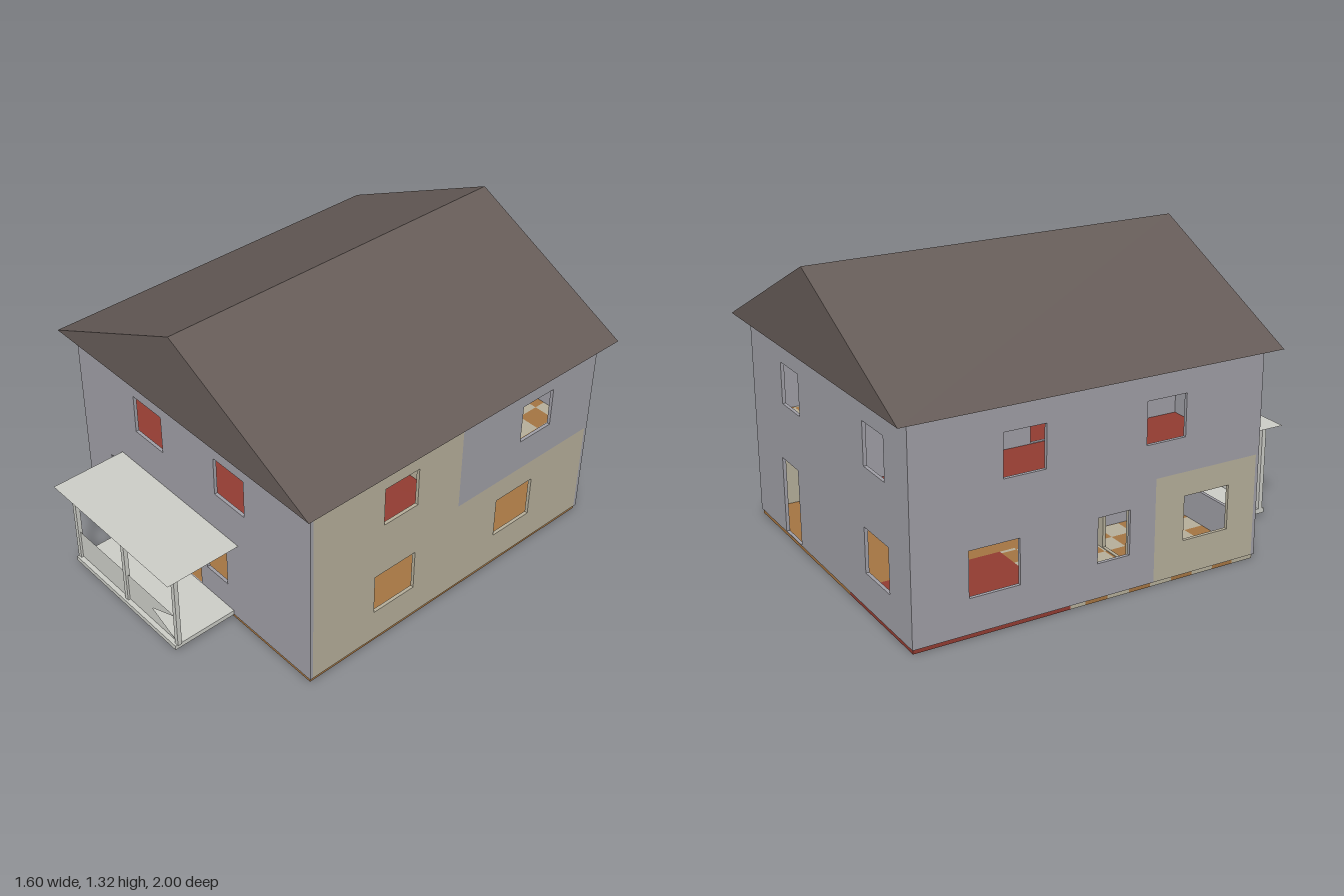
import * as THREE from 'three';
import { mergeGeometries } from 'three/addons/utils/BufferGeometryUtils.js';

const mat = (name, color, side = THREE.FrontSide) => {
  const m = new THREE.MeshStandardMaterial({ color, side });
  m.name = name;
  return m;
};

export function createModel() {
  const house = new THREE.Group();
  house.name = 'house';
  const grey = mat('greyPlaster', 0x9e9da4);
  const beige = mat('beigePlaster', 0xb4ad99);
  const roofBrown = mat('roofBrown', 0x655b57);
  const wood = mat('wood', 0xa27341);
  const red = mat('redCarpet', 0x903b31);
  const pale = mat('palePorch', 0xcacbc5, THREE.DoubleSide);

  const X = 0.745, ZF = 0.65, ZB = -0.94, T = 0.015;
  const Y0 = 0.02, YM = 0.47, Y1 = 0.925;

  const add = (name, geo, m, parent = house) => {
    const mesh = new THREE.Mesh(geo, m);
    mesh.name = name;
    parent.add(mesh);
    return mesh;
  };
  const boxGeo = (x0, x1, y0, y1, z0, z1) =>
    new THREE.BoxGeometry(x1 - x0, y1 - y0, z1 - z0)
      .translate((x0 + x1) / 2, (y0 + y1) / 2, (z0 + z1) / 2);
  const box = (name, m, ...b) => add(name, boxGeo(...b), m);

  // Flat outline [u, y] with rectangular holes [u0, u1, y0, y1]
  const plate = (u0, u1, y0, y1, holes = []) => {
    const rect = (S, a, b, c, d) => {
      const p = new S();
      p.moveTo(a, c); p.lineTo(b, c); p.lineTo(b, d); p.lineTo(a, d); p.closePath();
      return p;
    };
    const s = rect(THREE.Shape, u0, u1, y0, y1);
    holes.forEach(h => s.holes.push(rect(THREE.Path, ...h)));
    return new THREE.ExtrudeGeometry(s, { depth: T, bevelEnabled: false });
  };
  // Wall across x, its back face at z
  const wallX = (name, m, z, x0, x1, y0, y1, holes) =>
    add(name, plate(x0, x1, y0, y1, holes).translate(0, 0, z), m);
  // Wall along z, its +x face at x
  const wallZ = (name, m, x, z0, z1, y0, y1, holes) =>
    add(name, plate(z0, z1, y0, y1, holes).rotateY(-Math.PI / 2).translate(x, 0, 0), m);
  const low = (a, b) => [a, b, 0.17, 0.365];
  const high = (a, b) => [a, b, 0.62, 0.803];
  const door = (a, b) => [a, b, Y0 + 0.003, 0.365];

  // Outer walls with windows and doors
  wallX('frontWall', grey, ZF - T, -X, X - T, Y0, Y1,
    [high(-0.355, -0.17), high(0.17, 0.355), low(-0.565, -0.35), door(-0.115, 0.05), low(0.095, 0.23)]);
  wallX('backWall', grey, ZB, -X, X - T, Y0, Y1,
    [high(0.24, 0.42), high(-0.55, -0.37), low(-0.565, -0.355), door(0.29, 0.457)]);
  const zf = ZF - T, zb = ZB + T;
  wallZ('leftLowerWall', beige, X, zb, zf, Y0, YM, [low(0.09, 0.31), low(-0.6, -0.385)]);
  wallZ('leftUpperFrontWall', beige, X, -0.15, zf, YM, Y1, [high(0.09, 0.27)]);
  wallZ('leftUpperBackWall', grey, X, zb, -0.15, YM, Y1, [high(-0.68, -0.5)]);
  wallZ('rightUpperWall', grey, -X + T, zb, zf, YM, Y1, [high(-0.55, -0.365), high(0.09, 0.275)]);
  wallZ('rightLowerBackWall', grey, -X + T, zb, 0.14, Y0, YM, [low(-0.7, -0.48), low(-0.13, 0.02)]);
  wallZ('rightLowerFrontWall', beige, -X + T, 0.14, zf, Y0, YM, [low(0.28, 0.5)]);
  // Corner strips closing the left wall ends
  box('frontCorner', grey, X - T, X, Y0, Y1, zf, ZF);
  box('backCorner', grey, X - T, X, Y0, Y1, ZB, zb);

  // Checkered tile floor, one merged mesh per colour
  const CELL = 0.103;
  const checker = (name, x0, x1, y0, y1, z0, z1, originX, originZ) => {
    const sets = [[], []];
    const i0 = Math.floor((x0 - originX) / CELL), i1 = Math.ceil((x1 - originX) / CELL);
    const j0 = Math.floor((z0 - originZ) / CELL), j1 = Math.ceil((z1 - originZ) / CELL);
    for (let i = i0; i < i1; i++) for (let j = j0; j < j1; j++) {
      const a = Math.max(x0, originX + i * CELL), b = Math.min(x1, originX + (i + 1) * CELL);
      const c = Math.max(z0, originZ + j * CELL), d = Math.min(z1, originZ + (j + 1) * CELL);
      if (b - a > 1e-4 && d - c > 1e-4) sets[Math.abs(i + j) % 2].push(boxGeo(a, b, y0, y1, c, d));
    }
    add(name + 'BeigeTiles', mergeGeometries(sets[0]), beige);
    add(name + 'WoodTiles', mergeGeometries(sets[1]), wood);
  };

  // Ground floor
  const fx = 0.738, SPLIT = -0.185;
  box('woodFloor', wood, SPLIT, fx, 0, Y0, -0.935, 0.645);
  box('redFloor', red, -fx, SPLIT, 0, Y0, -0.935, -0.25);
  checker('kitchen', -fx, SPLIT, 0, Y0, -0.25, 0.645, -0.202, 0.645 - CELL);

  // Upper floor
  const ix = X - T, BX = 0.1;
  box('upperFloorFront', red, -ix, ix, 0.455, 0.475, -0.15, zf);
  box('upperFloorBack', red, -ix, BX, 0.455, 0.475, zb, -0.15);
  checker('bathroom', BX, ix, 0.455, 0.475, zb, -0.15, BX, -0.15);

  // Ground floor partitions
  wallX('kitchenPartition', beige, 0.14, -ix, SPLIT, Y0, 0.455, [[-0.545, -0.375, Y0 + 0.003, 0.4]]);
  wallZ('kitchenSideWall', grey, SPLIT, 0.155, zf, Y0, 0.455);
  wallZ('hallWall', grey, 0.25, -0.15, 0.25, Y0, 0.455);
  wallZ('hallWallFront', beige, 0.25, 0.28, zf, Y0, 0.455);
  wallX('hallBackWall', grey, -0.165, 0.11, 0.25, Y0, 0.455);

  // Upper partitions
  wallX('bedroomPartition', beige, -0.15, BX, ix, 0.475, Y1);
  wallZ('bedroomSideWall', beige, BX, -0.135, 0.165, 0.475, Y1);
  wallZ('bathroomSideWall', grey, BX, -0.62, -0.15, 0.475, Y1);
  wallZ('bathroomRearSideWall', beige, BX, zb, -0.62, 0.475, Y1);
  wallZ('landingWall', grey, -0.17, zb, zf, 0.475, Y1, [[-0.1, 0.08, 0.478, 0.82]]);

  // Staircase
  const steps = [];
  for (let i = 0; i < 10; i++) {
    steps.push(boxGeo(-0.04, 0.11, Y0, Y0 + (i + 1) * 0.043, 0.055 - i * 0.045, 0.1 - i * 0.045));
  }
  add('staircase', mergeGeometries(steps), wood);

  // Gabled roof
  const gable = new THREE.Shape();
  gable.moveTo(-0.8, Y1); gable.lineTo(0.8, Y1); gable.lineTo(0, 1.315); gable.closePath();
  add('roof', new THREE.ExtrudeGeometry(gable, { depth: 1.705, bevelEnabled: false }).translate(0, 0, -1), roofBrown);

  // Porch: deck, posts, thin canopy and front panels
  const porch = new THREE.Group();
  porch.name = 'porch';
  house.add(porch);
  add('deck', boxGeo(-0.435, 0.265, 0.02, 0.042, ZF, 0.955), pale, porch);
  for (const x of [-0.425, -0.083, 0.26]) {
    add('post', boxGeo(x - 0.01, x + 0.01, 0.04, 0.435, 0.925, 0.945), pale, porch);
  }
  add('canopy', new THREE.PlaneGeometry(0.785, 0.35).rotateX(-Math.PI / 2).translate(-0.083, 0.436, 0.825), pale, porch);
  const panel = pts => new THREE.ShapeGeometry(
    new THREE.Shape(pts.map(p => new THREE.Vector2(...p)))).translate(0, 0, 0.935);
  add('panel', panel([[-0.415, 0.045], [-0.07, 0.045], [-0.07, 0.185], [-0.415, 0.185]]), pale, porch);
  add('cutPanel', panel([[-0.07, 0.045], [0.25, 0.045], [0.09, 0.115], [0.25, 0.185], [-0.07, 0.185]]), pale, porch);

  return house;
}
